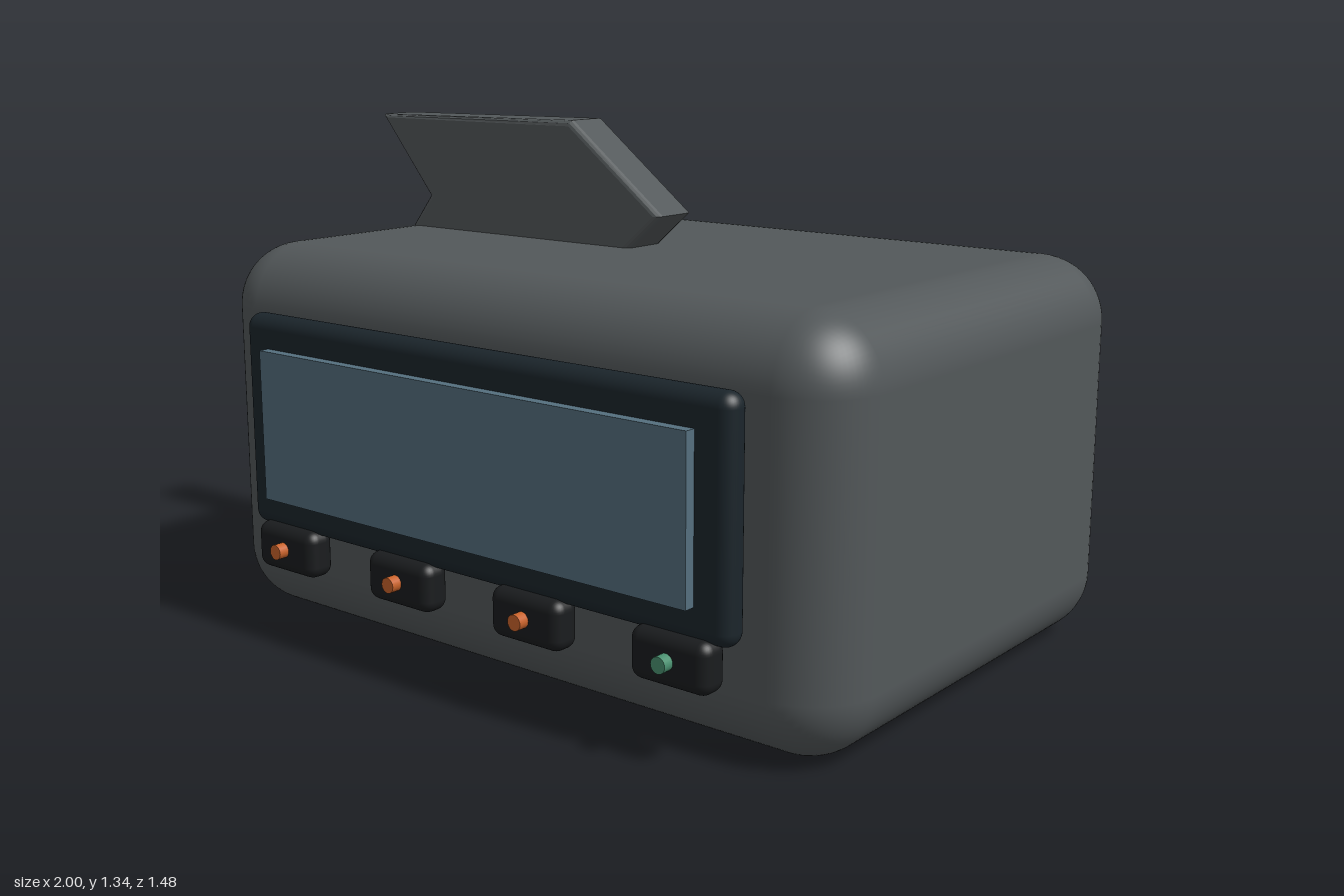
import * as THREE from 'three';
import { RoundedBoxGeometry } from 'three/addons/geometries/RoundedBoxGeometry.js';

const paint = (color) => new THREE.MeshStandardMaterial({ color });

export function createModel() {
  const model = new THREE.Group();
  model.name = 'alarmClock';

  const bodyMat = paint(0x53585a);
  const bezelMat = paint(0x1b252b);
  const screenMat = paint(0x556f7e);
  const buttonMat = paint(0x1a1c1e);
  const orangeMat = paint(0xc8622a);
  const greenMat = paint(0x4a9070);

  const add = (name, geometry, material, x, y, z) => {
    const mesh = new THREE.Mesh(geometry, material);
    mesh.name = name;
    mesh.position.set(x, y, z);
    model.add(mesh);
    return mesh;
  };

  // Rounded housing
  add('body', new RoundedBoxGeometry(2, 1.01, 1.36, 8, 0.17), bodyMat, 0, 0.505, -0.062);

  // Display: pill-edged bezel and flat screen
  add('bezel', new RoundedBoxGeometry(1.575, 0.565, 0.074, 5, 0.036), bezelMat, -0.003, 0.568, 0.655);
  add('screen', new THREE.BoxGeometry(1.385, 0.395, 0.06), screenMat, -0.003, 0.568, 0.69);

  // Row of buttons, each with a small indicator light
  const buttonGeo = new RoundedBoxGeometry(0.22, 0.125, 0.08, 4, 0.03);
  const lightGeo = new THREE.CylinderGeometry(0.02, 0.02, 0.05, 20).rotateX(Math.PI / 2);
  for (let i = 0; i < 4; i++) {
    const x = -0.64 + i * 0.424;
    add(`button${i + 1}`, buttonGeo, buttonMat, x, 0.238, 0.675);
    add(`buttonLight${i + 1}`, lightGeo, i === 3 ? greenMat : orangeMat, x, 0.24, 0.718);
  }

  // Arrow-shaped snooze fin, its lower half sunk into the housing
  const arrow = new THREE.Shape();
  arrow.moveTo(0.055, 1.1);
  arrow.lineTo(-0.25, 1.335);
  arrow.lineTo(-0.975, 1.325);
  arrow.lineTo(-0.79, 1.1);
  arrow.lineTo(-0.965, 0.88);
  arrow.lineTo(-0.21, 0.87);
  const bevel = 0.016;
  const finGeo = new THREE.ExtrudeGeometry(arrow, {
    depth: 0.138 - 2 * bevel,
    bevelThickness: bevel,
    bevelSize: bevel,
    bevelOffset: -bevel,
    bevelSegments: 3,
  });
  add('arrowFin', finGeo, bodyMat, 0, 0, -0.125 + bevel);

  return model;
}
